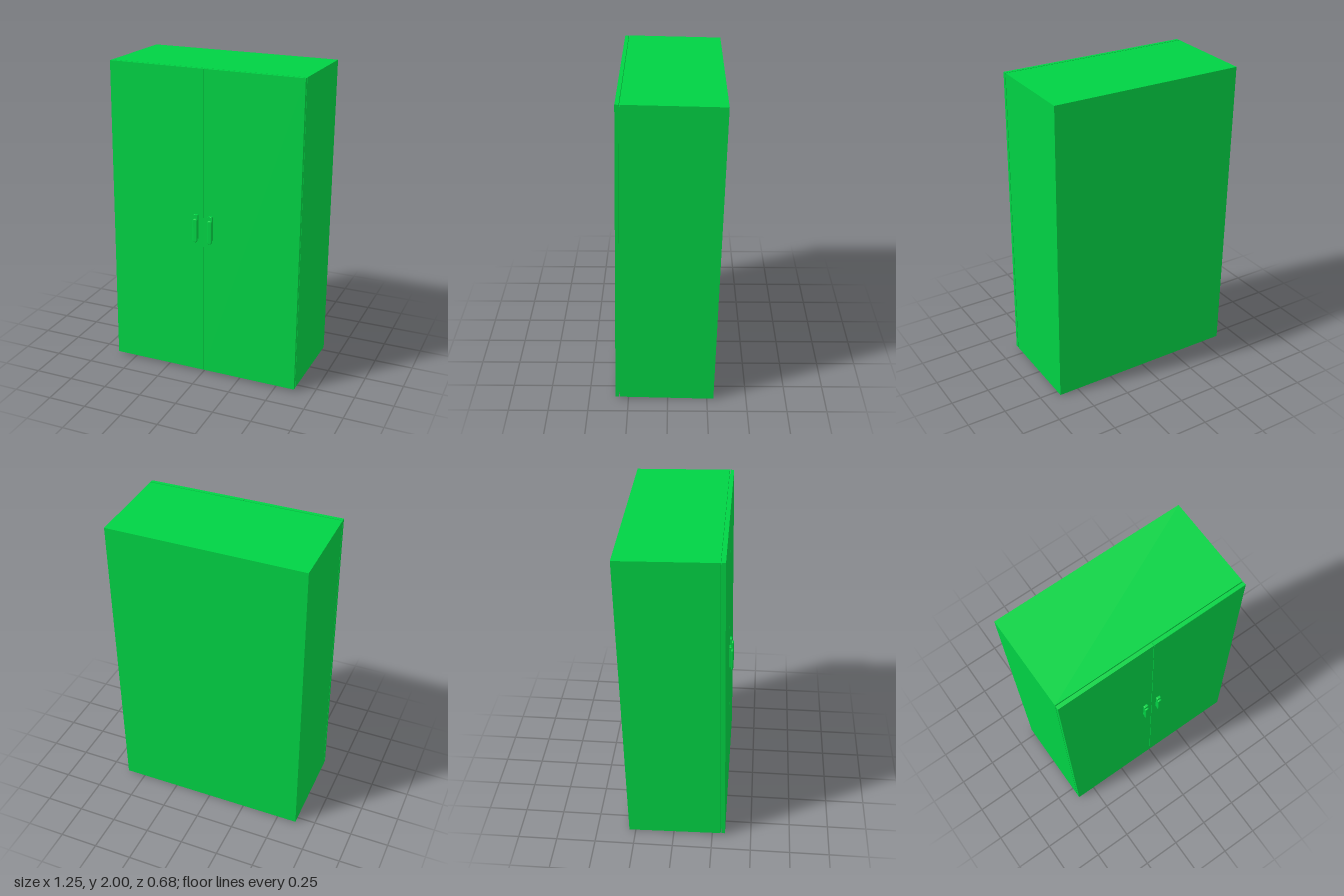
import * as THREE from 'three';

const HEIGHT = 1.986, WIDTH = 1.254, BODY_DEPTH = 0.597;
const DOOR = 0.023, GAP = 0.005, FRONT = BODY_DEPTH + GAP + DOOR;
const DOOR_EDGE = 0.0015; // half of the slit between the doors

// Upright pad with rounded corners and a softened front, its back on z = 0
function padGeometry(width, height, depth, radius, bevel) {
  const w = width / 2 - radius, h = height / 2 - radius;
  const shape = new THREE.Shape();
  shape.absarc(w, h, radius, 0, Math.PI / 2);
  shape.absarc(-w, h, radius, Math.PI / 2, Math.PI);
  shape.absarc(-w, -h, radius, Math.PI, Math.PI * 1.5);
  shape.absarc(w, -h, radius, Math.PI * 1.5, Math.PI * 2);
  const geometry = new THREE.ExtrudeGeometry(shape, {
    depth: depth - 2 * bevel, bevelThickness: bevel, bevelSize: bevel,
    bevelOffset: -bevel, bevelSegments: 3, curveSegments: 4,
  });
  return geometry.translate(0, 0, bevel);
}

export function createModel() {
  const green = new THREE.MeshStandardMaterial({ color: 0x00d244 });
  green.name = 'green';

  const wardrobe = new THREE.Group();
  wardrobe.name = 'wardrobe';

  function add(name, geometry, x, y, z) {
    const mesh = new THREE.Mesh(geometry, green);
    mesh.name = name;
    mesh.position.set(x, y, z);
    wardrobe.add(mesh);
  }

  // Cabinet, with a recessed spacer that carries the doors
  add('cabinet', new THREE.BoxGeometry(WIDTH, HEIGHT, BODY_DEPTH), 0, HEIGHT / 2, BODY_DEPTH / 2);
  add('doorSpacer', new THREE.BoxGeometry(WIDTH - 0.04, HEIGHT - 0.04, GAP),
    0, HEIGHT / 2, BODY_DEPTH + GAP / 2);

  // Mirrored doors, each with a mount and a rounded grip set slightly lower
  const doorWidth = WIDTH / 2 - DOOR_EDGE;
  const door = new THREE.BoxGeometry(doorWidth, HEIGHT, DOOR);
  const mount = padGeometry(0.03, 0.16, 0.016, 0.006, 0.001);
  const grip = padGeometry(0.03, 0.155, 0.015, 0.012, 0.006);
  for (const [side, s] of [['left', 1], ['right', -1]]) {
    add(side + 'Door', door, s * (DOOR_EDGE + doorWidth / 2), HEIGHT / 2, FRONT - DOOR / 2);
    add(side + 'HandleMount', mount, s * 0.049, 0.996, FRONT - 0.001);
    add(side + 'HandleGrip', grip, s * 0.049, 0.974, FRONT + 0.011);
  }

  // The wardrobe leans back slightly on its rear bottom edge
  wardrobe.rotation.x = -0.0227;
  wardrobe.position.z = -0.292;

  const model = new THREE.Group();
  model.name = 'leaningWardrobe';
  model.add(wardrobe);
  return model;
}
